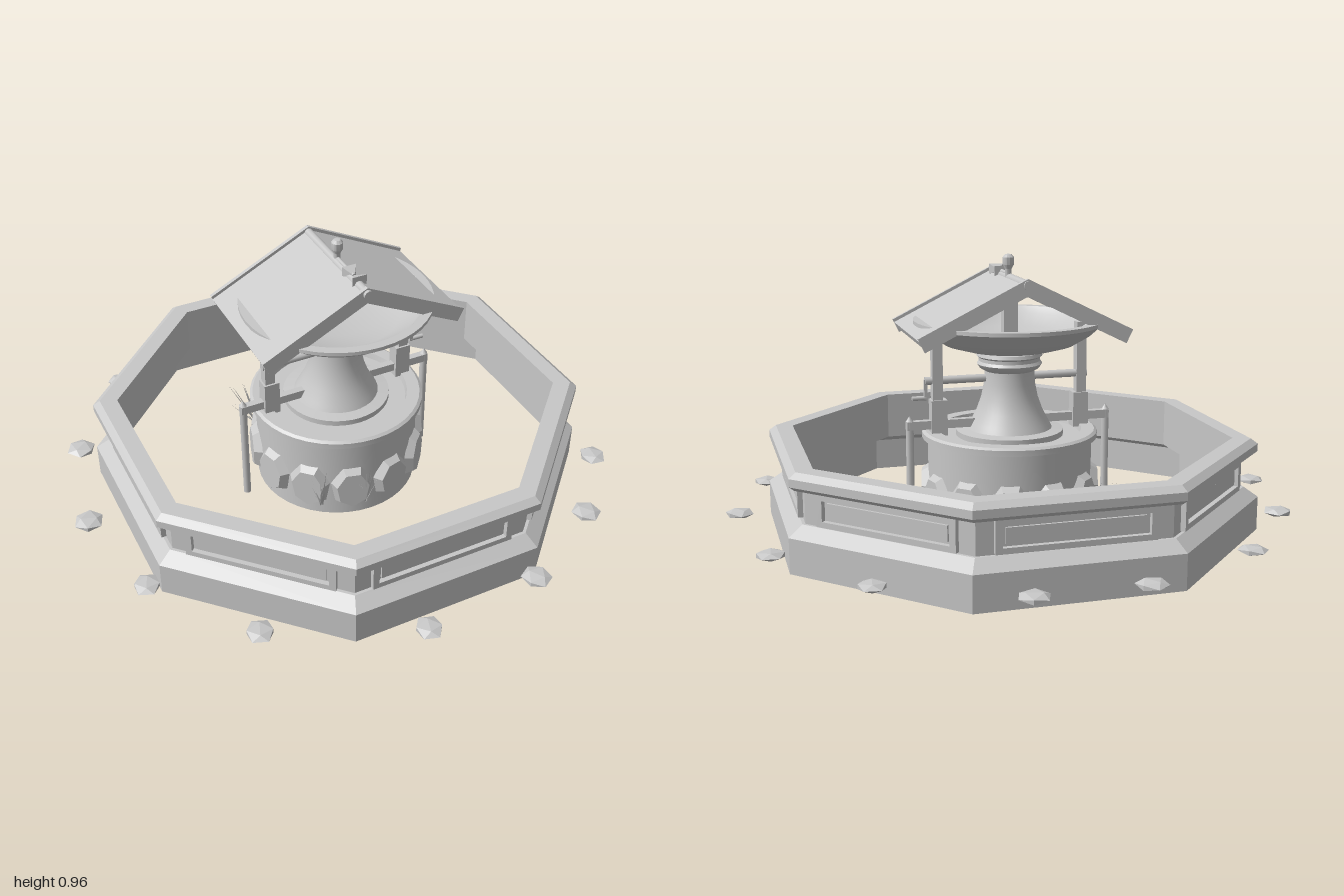
import * as THREE from 'three';
import { toCreasedNormals } from 'three/addons/utils/BufferGeometryUtils.js';

export function createModel() {
  const model = new THREE.Group();
  const stone = new THREE.MeshStandardMaterial({ color: 0xc8c8c8, side: THREE.DoubleSide });
  stone.name = 'grey stone';

  let seed = 7;
  const rand = () => (seed = (seed * 16807) % 2147483647) / 2147483647;
  const add = (name, geometry, x = 0, y = 0, z = 0, parent = model) => {
    const mesh = new THREE.Mesh(geometry, stone);
    mesh.name = name;
    mesh.position.set(x, y, z);
    parent.add(mesh);
    return mesh;
  };
  const box = (name, w, h, d, x, y, z, parent) => add(name, new THREE.BoxGeometry(w, h, d), x, y, z, parent);
  const flat = (g) => {
    const f = g.index ? g.toNonIndexed() : g;
    f.computeVertexNormals();
    return f;
  };
  const points = (list, k = 1) => list.map(([r, y]) => new THREE.Vector2(r * k, y));
  // Octagonal sweep, radii given to the flat sides
  const octagon = (list) =>
    flat(new THREE.LatheGeometry(points(list, 1 / Math.cos(Math.PI / 8)), 8, Math.PI / 8));
  const turned = (list, sides = 40) =>
    toCreasedNormals(new THREE.LatheGeometry(points(list), sides), 0.6);

  // Octagonal basin: open plinth shell, wall and moulded cap
  add('plinth', octagon([[0.815, 0], [0.815, 0.12], [0.768, 0.155], [0.727, 0.155]]), 0.005);
  add('basinWall', octagon([
    [0.758, 0.155], [0.758, 0.265], [0.79, 0.27], [0.808, 0.285], [0.808, 0.312],
    [0.785, 0.33], [0.727, 0.33], [0.727, 0.155], [0.758, 0.155],
  ]), 0.005);

  // Framed panel on each side of the basin
  const rect = (C, w, h) => {
    const p = new C();
    p.moveTo(-w, -h); p.lineTo(w, -h); p.lineTo(w, h); p.lineTo(-w, h); p.closePath();
    return p;
  };
  const frameShape = rect(THREE.Shape, 0.257, 0.053);
  frameShape.holes.push(rect(THREE.Path, 0.235, 0.034));
  const frameGeometry = new THREE.ExtrudeGeometry(frameShape, { depth: 0.018, bevelEnabled: false });
  for (let i = 0; i < 8; i++) {
    const side = new THREE.Group();
    side.name = 'basinPanel';
    side.position.x = 0.005;
    side.rotation.y = (i * Math.PI) / 4;
    model.add(side);
    add('panelFrame', frameGeometry, 0, 0.212, 0.757, side);
    box('panelField', 0.445, 0.052, 0.01, 0, 0.212, 0.761, side);
  }

  // Central drum with rim, shallow recess and open underside
  add('drum', turned([
    [0.29, 0.01], [0.29, 0.315], [0.31, 0.32], [0.31, 0.34], [0.3, 0.347], [0.255, 0.347],
    [0.25, 0.325], [0, 0.325],
  ]));
  add('drumLining', turned([[0.29, 0.01], [0.262, 0.01], [0.262, 0.13], [0, 0.13]]));
  for (let i = -2; i <= 2; i++) {
    const length = 2 * Math.sqrt(0.255 ** 2 - (i * 0.09) ** 2);
    box('bottomPlank', length, 0.02, 0.06, 0, 0.07, i * 0.09);
  }
  box('bottomBeam', 0.05, 0.02, 0.48, 0, 0.09, 0);

  // Rounded facing stones around the drum foot
  for (let i = 0; i < 12; i++) {
    const a = ((i + 0.5) / 12) * Math.PI * 2;
    const s = add('facingStone', flat(new THREE.CylinderGeometry(0.062, 0.08, 0.03, 7)),
      Math.sin(a) * 0.298, 0.13, Math.cos(a) * 0.298);
    s.rotation.set(Math.PI / 2, a, 0, 'YXZ');
    s.scale.set(0.95, 1, 1.1 + rand() * 0.15);
  }

  // Turned pedestal and upper bowl
  add('pedestal', turned([
    [0.19, 0.325], [0.19, 0.345], [0.15, 0.35], [0.14, 0.37], [0.118, 0.41], [0.1, 0.46],
    [0.09, 0.51], [0.088, 0.555], [0.105, 0.565], [0.115, 0.58], [0.108, 0.59], [0.108, 0.602],
    [0.116, 0.608], [0.112, 0.62], [0.075, 0.628],
  ]));
  add('bowl', turned([
    [0, 0.618], [0.08, 0.62], [0.16, 0.632], [0.23, 0.652], [0.285, 0.685], [0.318, 0.715],
    [0.336, 0.725], [0.336, 0.738], [0.305, 0.738], [0.285, 0.712], [0.22, 0.676], [0.12, 0.657], [0, 0.652],
  ], 48));

  // Posts, feet, side stakes and short rails
  for (const s of [-1, 1]) {
    box('post', 0.036, 0.38, 0.036, s * 0.262, 0.525, 0);
    box('postFoot', 0.056, 0.125, 0.05, s * 0.258, 0.4, 0);
    box('lowerRail', 0.24, 0.03, 0.026, s * 0.25, 0.375, 0);
    add('stake', new THREE.CylinderGeometry(0.014, 0.014, 0.39, 8), s * 0.36, 0.195, 0);
    add('stakeTip', new THREE.ConeGeometry(0.014, 0.02, 8), s * 0.36, 0.4, 0);
  }

  // Winding axle and crank
  const bar = (name, r, length, x, y, z, axis) => {
    const m = add(name, new THREE.CylinderGeometry(r, r, length, 10), x, y, z);
    m.rotation[axis] = Math.PI / 2;
    return m;
  };
  bar('axle', 0.014, 0.59, 0.01, 0.53, 0, 'z');
  box('crankArm', 0.012, 0.07, 0.014, 0.302, 0.5, 0);
  bar('crankHandle', 0.008, 0.05, 0.325, 0.47, 0, 'z');

  // Pitched roof: an extruded chevron for the boards and for each gable edge
  const chevron = (name, top, half, thick, depth, z) => {
    const slope = 0.493, run = thick * 0.442, rise = thick * 0.897;
    const end = top - half * slope;
    const shape = new THREE.Shape(points([
      [0, top], [-half, end], [-half + run, end - rise], [0, top - thick * 1.115],
      [half - run, end - rise], [half, end],
    ]));
    return add(name, new THREE.ExtrudeGeometry(shape, { depth, bevelEnabled: false }), 0, 0, z - depth / 2);
  };
  chevron('roofBoards', 0.888, 0.368, 0.02, 0.44, 0);
  for (const s of [-1, 1]) chevron('gableBoard', 0.9, 0.372, 0.052, 0.014, s * 0.222);
  bar('ridgeBeam', 0.016, 0.475, 0, 0.878, 0.003, 'x');
  box('kingPost', 0.05, 0.2, 0.04, 0, 0.76, 0);

  // Finial and wind vane on the ridge
  add('finial', turned([
    [0.012, 0.87], [0.012, 0.91], [0.02, 0.925], [0.02, 0.95], [0.012, 0.96], [0, 0.962],
  ], 12), 0.004);
  bar('vaneRod', 0.007, 0.13, 0.002, 0.892, 0.065, 'x');
  for (const s of [-1, 1]) {
    const tail = add('vaneTail', flat(new THREE.ConeGeometry(0.037, 0.042, 4, 1, false, Math.PI / 4)),
      0.002, 0.892, 0.13 + s * 0.017);
    tail.rotation.x = -s * Math.PI / 2;
    tail.scale.z = 0.7;
  }

  // Grass tufts: fans of thin bent blades leaning out from the drum
  for (const [x, z] of [[-0.2, -0.27], [0.22, -0.25], [-0.03, 0.3], [-0.18, 0.25]]) {
    const out = Math.atan2(x, z);
    const reach = z < 0 ? 0.1 : 0.04;
    const tuft = new THREE.Group();
    tuft.name = 'grassTuft';
    tuft.position.set(x, 0.06, z);
    model.add(tuft);
    for (let i = 0; i < 11; i++) {
      const a = out + (rand() - 0.5) * 2.4;
      const r = reach * (0.5 + rand() * 0.7), h = 0.09 + rand() * 0.08;
      const dx = Math.sin(a), dz = Math.cos(a), w = 0.006;
      const blade = new THREE.BufferGeometry();
      blade.setAttribute('position', new THREE.Float32BufferAttribute([
        -dz * w, 0, dx * w, dz * w, 0, -dx * w, dx * r, h, dz * r,
      ], 3));
      blade.computeVertexNormals();
      add('grassBlade', blade, 0, 0, 0, tuft);
    }
  }

  // Flat loose rocks scattered around the basin
  const rocks = [
    [-0.17, -0.93], [0.19, -0.93], [0.62, -0.72], [0.88, -0.37], [0.945, 0.09], [0.82, 0.47], [0.62, 0.71],
    [0.29, 0.895], [-0.135, 0.93], [-0.615, 0.71], [-0.865, 0.365], [-0.945, -0.01], [-0.855, -0.4], [-0.59, -0.74],
  ];
  for (const [x, z] of rocks) {
    const rock = add('looseRock', flat(new THREE.IcosahedronGeometry(0.05, 0)), x, 0.082, z);
    rock.rotation.y = rand() * 6;
    rock.scale.set(1.05, 0.3, 0.9 + rand() * 0.2);
  }
  return model;
}
